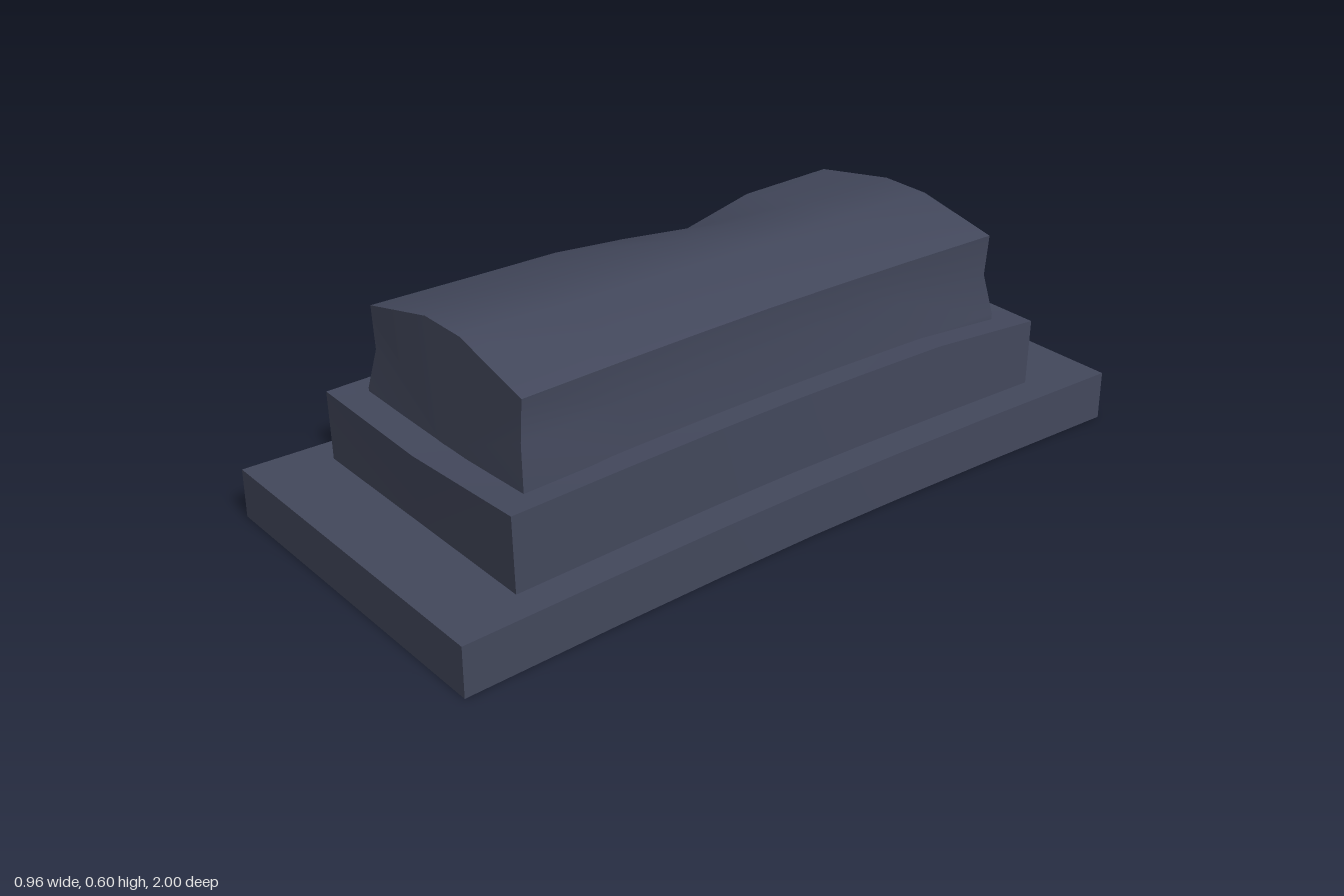
import * as THREE from 'three';
import { toCreasedNormals } from 'three/addons/utils/BufferGeometryUtils.js';

// Lofts a closed ring of points along z; section(t) takes t from -1 (back) to 1 (front)
function loft(stations, section) {
  const rings = stations.map(section);
  const n = rings[0].length;
  const last = rings.length - 1;
  const index = [];
  for (let i = 0; i < last; i++) {
    for (let j = 0; j < n; j++) {
      const k = (j + 1) % n;
      const a = i * n + j, b = i * n + k, c = b + n, d = a + n;
      index.push(a, b, c, a, c, d);
    }
  }
  // End caps, fanned from the first point (bottom centre)
  for (let j = 1; j < n - 1; j++) {
    index.push(0, j + 1, j, last * n, last * n + j, last * n + j + 1);
  }
  const geo = new THREE.BufferGeometry();
  geo.setAttribute('position', new THREE.Float32BufferAttribute(rings.flat(2), 3));
  geo.setIndex(index);
  return toCreasedNormals(geo, 0.5);
}

// Soft pinch of the long sides: 0 at the middle, 1 at the ends
const flare = (t) => Math.pow(Math.abs(t), 1.6);

export function createModel() {
  const group = new THREE.Group();
  const stone = new THREE.MeshStandardMaterial({ color: 0x43485c });
  stone.name = 'slate stone';
  const add = (name, geo) => {
    const mesh = new THREE.Mesh(geo, stone);
    mesh.name = name;
    group.add(mesh);
  };
  const stations = [-1, -0.6, -0.28, 0, 0.28, 0.6, 1];

  // Low plinth
  add('plinth', loft(stations, (t) => {
    const w = 0.452 + 0.027 * flare(t);
    return [[0, 0, t], [w, 0, t], [w, 0.13, t], [0, 0.13, t], [-w, 0.13, t], [-w, 0, t]];
  }));

  // Middle step, with worn corners and a sagging rim at both ends
  add('middleStep', loft(stations, (t) => {
    const w = 0.365 + 0.023 * flare(t);
    const z = t * 0.802;
    const left = t === -1 ? 0.305 : 0.325;
    const right = t === 1 ? 0.313 : 0.325;
    const centre = Math.abs(t) === 1 ? 0.305 : 0.322;
    return [[0, 0.128, z], [w, 0.128, z], [w, left, z * 1.005], [0, centre, z * 1.008],
      [-w, right, z * 1.005], [-w, 0.128, z]];
  }));

  // Waisted upper block with a shallow crown and one chipped shoulder
  add('crownedBlock', loft(stations, (t) => {
    const f = flare(t);
    const foot = 0.3 + 0.022 * f;
    const waist = 0.285 + 0.013 * f;
    const top = 0.29 + 0.018 * f;
    const crown = 0.593 + 0.007 * t;
    const chip = t === -0.28 ? 1 : t === 0 ? 0.4 : 0;
    const zFoot = t * 0.728, zWaist = t * 0.714, zTop = t * 0.714;
    return [[0, 0.3, zFoot], [foot, 0.3, zFoot], [foot, 0.325, zFoot], [waist, 0.43, zWaist],
      [top, 0.54, zTop], [0.075, crown, zTop], [-0.065, crown, zTop],
      [-top + 0.025 * chip, 0.54 - 0.03 * chip, zTop], [-waist + 0.01 * chip, 0.43, zWaist],
      [-foot, 0.325, zFoot], [-foot, 0.3, zFoot]];
  }));

  return group;
}
